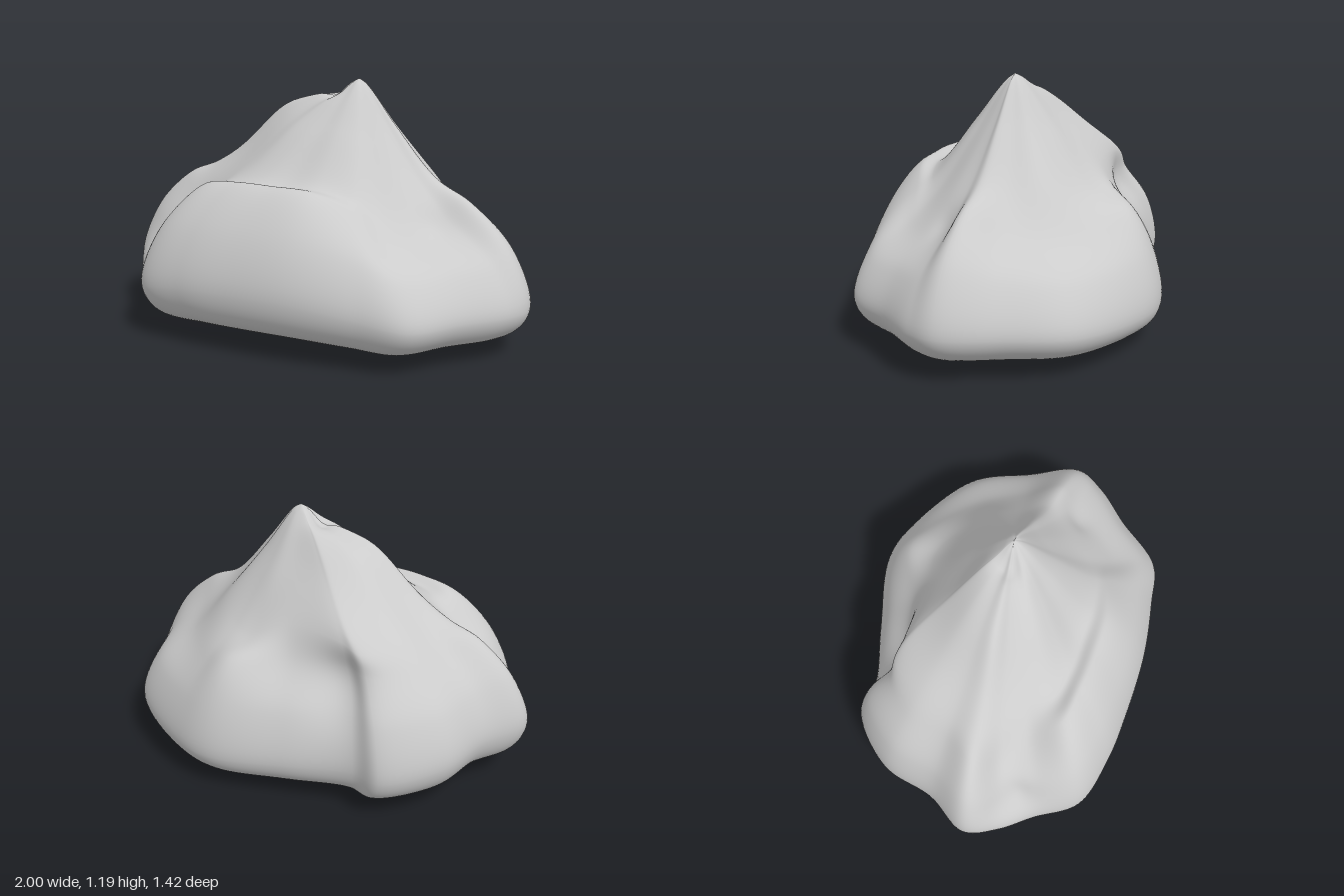
import * as THREE from 'three';

// One row per fold around the body:
// rim x, rim z, rim height, shoulder reach, shoulder height, hollow reach, hollow height
// (reach is the fraction of the way from the axis to the rim)
const FOLDS = [
  [1.0, 0.1, 0.22, 0.67, 0.67, 0.47, 0.76],
  [0.95, 0.23, 0.22, 0.68, 0.57, 0.45, 0.74],
  [0.8, 0.4, 0.22, 0.68, 0.54, 0.45, 0.74],
  [0.63, 0.61, 0.22, 0.66, 0.54, 0.48, 0.68],
  [0.4, 0.66, 0.26, 0.65, 0.66, 0.54, 0.71],
  [0.1, 0.7, 0.3, 0.68, 0.735, 0.56, 0.74],
  [-0.2, 0.7, 0.3, 0.68, 0.745, 0.56, 0.735],
  [-0.45, 0.68, 0.29, 0.68, 0.745, 0.57, 0.735],
  [-0.69, 0.61, 0.25, 0.7, 0.72, 0.58, 0.72],
  [-0.82, 0.42, 0.23, 0.72, 0.6, 0.58, 0.72],
  [-0.93, 0.28, 0.25, 0.75, 0.57, 0.62, 0.7],
  [-1.0, 0.12, 0.29, 0.77, 0.69, 0.64, 0.75],
  [-0.89, -0.08, 0.28, 0.78, 0.66, 0.66, 0.75],
  [-0.82, -0.34, 0.26, 0.8, 0.64, 0.68, 0.75],
  [-0.6, -0.55, 0.22, 0.8, 0.64, 0.74, 0.73],
  [-0.46, -0.53, 0.22, 0.8, 0.64, 0.74, 0.76],
  [-0.15, -0.62, 0.2, 0.72, 0.61, 0.58, 0.77],
  [0.2, -0.71, 0.18, 0.78, 0.61, 0.56, 0.69],
  [0.41, -0.67, 0.18, 0.74, 0.57, 0.52, 0.7],
  [0.78, -0.45, 0.2, 0.66, 0.55, 0.45, 0.76],
  [0.91, -0.16, 0.21, 0.66, 0.59, 0.45, 0.76],
];

// Soft local pushes: centre, radius, offset
const PUSHES = [
  [[-0.25, 0.97, 0], 0.2, [0, 0.085, 0]],         // second peak
  [[0.03, 1.13, 0], 0.065, [0, -0.045, 0]],       // notch beside the tip
  [[-0.35, 0.58, -0.47], 0.15, [0.01, 0, 0.06]],  // hollow under the back ridge
  [[-0.82, 0.42, 0.3], 0.11, [0.05, -0.02, 0]],   // left crease
  [[0.62, 0.62, 0.21], 0.08, [-0.02, -0.02, 0]],  // right crease
].map(([c, r, d]) => ({
  centre: new THREE.Vector3(...c), radius: r, offset: new THREE.Vector3(...d),
}));

const AXIS = 0.1;
const TIP = new THREE.Vector3(0.13, 1.19, 0);
const lerp = THREE.MathUtils.lerp;

// Points up one fold, from under the base to the rounded tip
function foldPoints([x, z, rimY, sF, sY, hF, hY]) {
  const at = (f, y) => new THREE.Vector3(lerp(AXIS, x, f), y, z * f);
  const base = (f, y) => new THREE.Vector3(x * f, y, z * f);
  const hollow = at(hF, hY);
  const nearTip = hollow.clone().lerp(TIP, 0.9);
  nearTip.y += 0.018;
  return [
    new THREE.Vector3(0, 0, 0),
    base(0.35, 0.02),
    base(0.7, rimY * 0.23),
    base(0.93, rimY * 0.5),
    at(1, rimY),
    at(lerp(1, sF, 0.32), lerp(rimY, sY, 0.58)),
    at(sF, sY),
    hollow,
    hollow.clone().lerp(TIP, 0.5),
    nearTip,
    TIP.clone(),
  ];
}

function push(p) {
  const moved = p.clone();
  for (const { centre, radius, offset } of PUSHES) {
    const w = Math.exp(-p.distanceToSquared(centre) / (radius * radius));
    moved.addScaledVector(offset, w);
  }
  return moved;
}

// Loft: closed rings through the folds, then a smooth profile up the rings
function bodyGeometry(around = 210, up = 90) {
  const folds = FOLDS.map(foldPoints);
  const rings = folds[0].slice(1, -1).map((_, j) =>
    new THREE.CatmullRomCurve3(folds.map((f) => f[j + 1]), true));
  const positions = [];
  const index = [];
  for (let i = 0; i < around; i++) {
    const profile = new THREE.CatmullRomCurve3([
      folds[0][0], ...rings.map((ring) => ring.getPoint(i / around)), TIP,
    ]);
    const next = (i + 1) % around;
    for (let j = 0; j <= up; j++) {
      positions.push(...push(profile.getPoint(j / up)).toArray());
      if (j === up) continue;
      const a = i * (up + 1) + j;
      const b = next * (up + 1) + j;
      index.push(a, a + 1, b + 1);
      if (j > 0) index.push(a, b + 1, b);
    }
  }
  const geometry = new THREE.BufferGeometry();
  geometry.setAttribute('position', new THREE.Float32BufferAttribute(positions, 3));
  geometry.setIndex(index);
  geometry.computeVertexNormals();
  return geometry;
}

export function createModel() {
  const group = new THREE.Group();
  group.name = 'foldedMound';
  const body = new THREE.Mesh(
    bodyGeometry(),
    new THREE.MeshStandardMaterial({ color: 0xcccccc }),
  );
  body.name = 'moundBody';
  group.add(body);
  return group;
}
